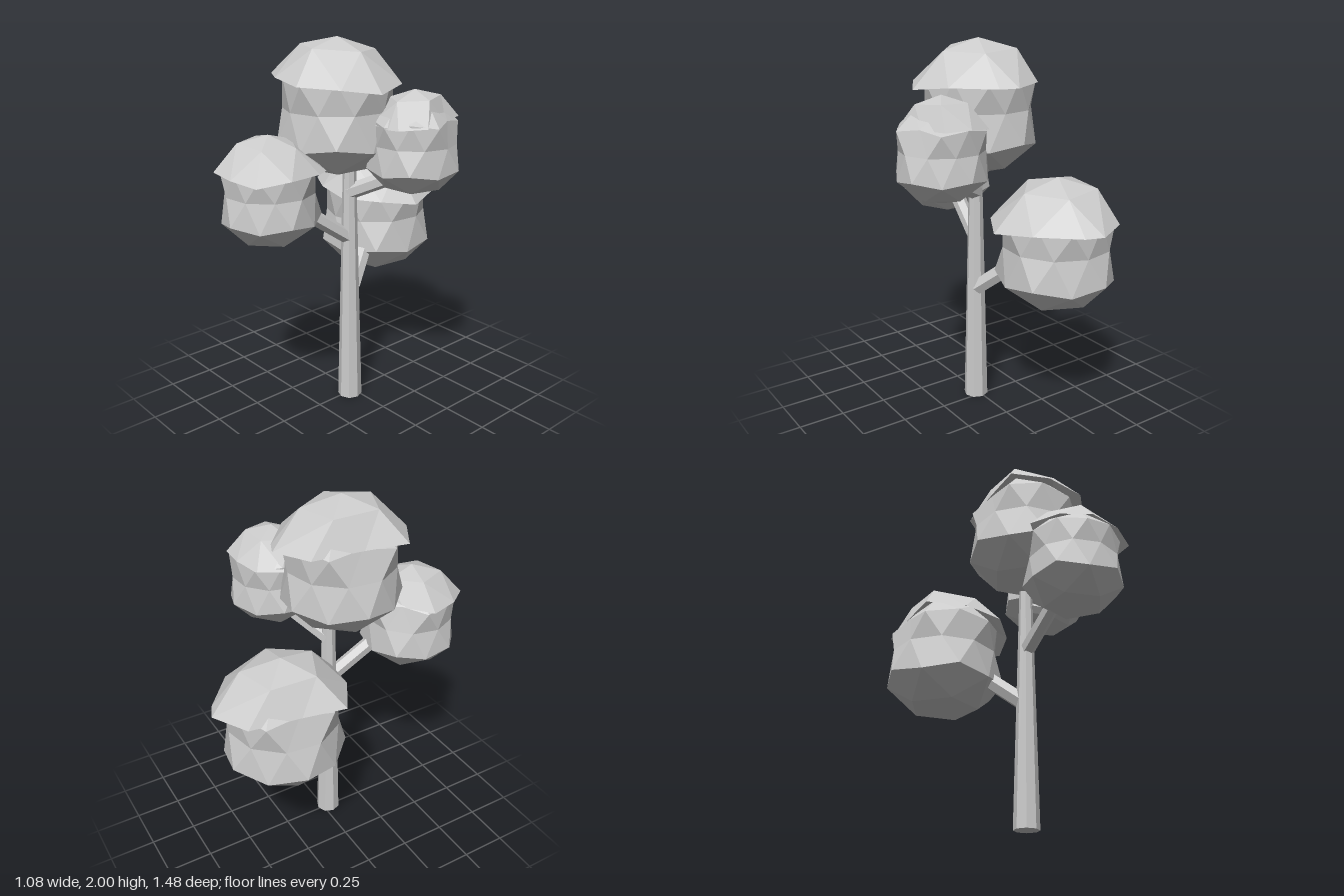
import * as THREE from 'three';

const material = new THREE.MeshStandardMaterial({ color: 0xcccccc, flatShading: true });
const shellMaterial = new THREE.MeshStandardMaterial({ color: 0xcccccc, flatShading: true, side: THREE.DoubleSide });

const PHASE = 6; // degrees from +x to the first corner of the ball

// Uneven rim of the cap, every 36 degrees from the first corner
const rim = [
  [1.04, 0.31, 0.11], [0.76, 0.38, 0.59], [0.28, 0.41, 0.96], [-0.31, 0.47, 0.87], [-0.82, 0.465, 0.56],
  [-0.68, 0.45, -0.05], [-0.51, 0.4, -0.76], [0.03, 0.38, -1.04], [0.28, 0.37, -0.93], [0.82, 0.38, -0.48],
];

// Unit icosphere with a vertex pointing straight up
function uprightIcosphere() {
  const g = new THREE.IcosahedronGeometry(1, 1);
  g.rotateZ(-Math.atan(2 / (1 + Math.sqrt(5))));
  g.rotateY(THREE.MathUtils.degToRad(-PHASE));
  return g;
}

// Moves each vertex by a rule
function reshape(g, rule) {
  const p = g.attributes.position;
  for (let i = 0; i < p.count; i++) p.setXYZ(i, ...rule(p.getX(i), p.getY(i), p.getZ(i)));
  g.computeVertexNormals();
  return g;
}

// Leaf ball, pinched at its equator and dented at the upper right
function bodyGeometry() {
  return reshape(uprightIcosphere(), (x, y, z) => {
    if (Math.abs(y) < 0.1) return [x * 0.8, y, z * 0.8];
    if (y < 0) return [x * 1.01, y, z * 1.01];
    const h = x < -0.8 ? 0.76 : 0.94;
    return [x * h, y * 0.88, z * h];
  });
}

// Overhanging cap: the top faces of the same ball, spread out to the rim
function capGeometry() {
  const source = uprightIcosphere();
  const p = source.attributes.position;
  const points = [];
  for (let i = 0; i < p.count; i += 3) {
    if (Math.min(p.getY(i), p.getY(i + 1), p.getY(i + 2)) < 0.3) continue;
    for (let k = i; k < i + 3; k++) points.push(p.getX(k), p.getY(k), p.getZ(k));
  }
  const g = new THREE.BufferGeometry();
  g.setAttribute('position', new THREE.Float32BufferAttribute(points, 3));
  return reshape(g, (x, y, z) => {
    if (y > 0.7) return [x * 1.07, y - 0.05 * x + 0.05 * z, z * 1.07];
    const angle = THREE.MathUtils.radToDeg(Math.atan2(z, x)) - PHASE;
    return rim[(Math.round(angle / 36) + 10) % 10];
  });
}

// Tapered limb between two points
function limb(name, from, to, r0, r1, sides) {
  const a = new THREE.Vector3(...from);
  const b = new THREE.Vector3(...to);
  const dir = b.clone().sub(a);
  const mesh = new THREE.Mesh(new THREE.CylinderGeometry(r1, r0, dir.length(), sides), material);
  mesh.position.copy(a).add(b).multiplyScalar(0.5);
  mesh.quaternion.setFromUnitVectors(new THREE.Vector3(0, 1, 0), dir.normalize());
  mesh.name = name;
  return mesh;
}

export function createModel() {
  const tree = new THREE.Group();
  tree.name = 'tree';

  // Trunk and branches
  tree.add(
    limb('trunk', [0.01, 0, 0.035], [0.01, 1.38, 0.035], 0.067, 0.034, 8),
    limb('frontBranch', [0.01, 0.94, 0.03], [-0.03, 1.11, 0.27], 0.04, 0.04, 6),
    limb('backBranch', [0.01, 0.66, 0.02], [-0.08, 0.8, -0.14], 0.046, 0.046, 6),
    limb('leftBranch', [0.01, 1.2, 0.035], [0.21, 1.3, -0.07], 0.042, 0.042, 6),
  );

  // Foliage: name, centre, ball radius, cap spread, turn in degrees
  const crowns = [
    ['topFoliage', [-0.035, 1.645, 0.075], 0.355, 1, 0],
    ['frontFoliage', [-0.085, 1.265, 0.48], 0.287, 0.95, -42],
    ['backFoliage', [-0.22, 0.975, -0.37], 0.355, 1, 0],
    ['leftFoliage', [0.315, 1.49, -0.125], 0.268, 0.88, -152],
  ];
  const body = bodyGeometry();
  const cap = capGeometry();
  for (const [name, centre, radius, spread, turn] of crowns) {
    const crown = new THREE.Group();
    crown.name = name;
    const ball = new THREE.Mesh(body, material);
    ball.name = 'leafBall';
    const top = new THREE.Mesh(cap, shellMaterial);
    top.name = 'leafCap';
    top.scale.set(spread, 1, spread);
    crown.add(ball, top);
    crown.position.set(...centre);
    crown.rotation.y = THREE.MathUtils.degToRad(turn);
    crown.scale.setScalar(radius);
    tree.add(crown);
  }
  return tree;
}
